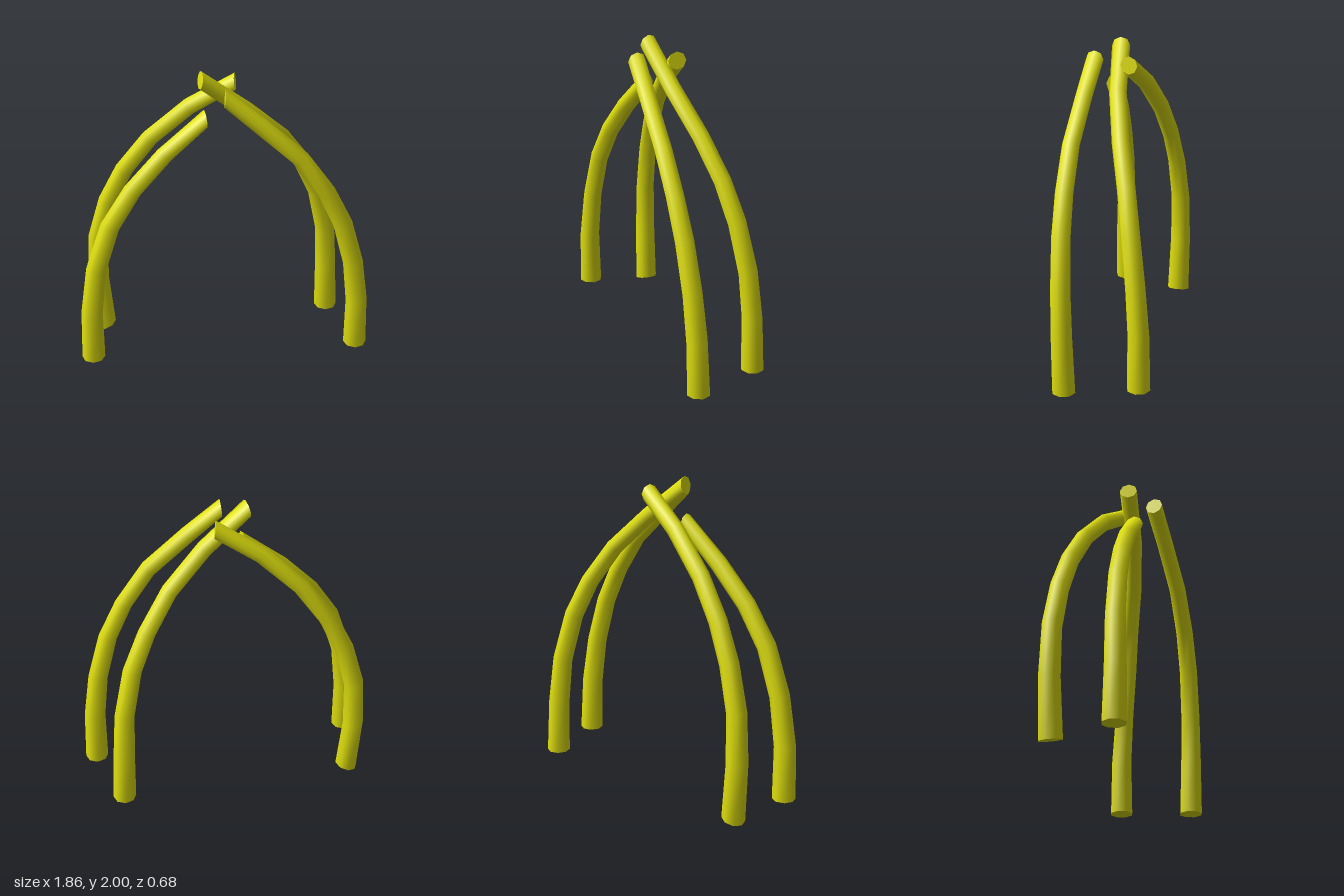
import * as THREE from 'three';

const SIDES = 8;
const RADII = [0.074, 0.068, 0.063, 0.06, 0.057, 0.055, 0.054, 0.056];

// Tapered limb lofted through centre points from foot to tip, with set cut directions at both ends.
function limbGeometry(points, footDir, tipDir) {
  const centres = points.map(p => new THREE.Vector3(...p));
  const last = centres.length - 1;
  const rings = centres.map((c, i) => {
    const t = new THREE.Vector3();
    if (i === 0) t.set(...footDir);
    else if (i === last) t.set(...tipDir);
    else {
      t.subVectors(centres[i + 1], c).normalize();
      t.add(c.clone().sub(centres[i - 1]).normalize());
    }
    t.normalize();
    const a = new THREE.Vector3(0, 0, 1).cross(t).normalize();
    const b = t.clone().cross(a);
    const r = i === last ? RADII[7] : RADII[i];
    return Array.from({ length: SIDES }, (_, j) => {
      const k = (j / SIDES) * Math.PI * 2;
      return c.clone().addScaledVector(a, r * Math.cos(k)).addScaledVector(b, r * Math.sin(k));
    });
  });

  const verts = rings.flat();
  const index = [];
  for (let i = 0; i < last; i++) {
    for (let j = 0; j < SIDES; j++) {
      const k = (j + 1) % SIDES;
      const p = i * SIDES + j, q = i * SIDES + k;
      index.push(p, q, q + SIDES, p, q + SIDES, p + SIDES);
    }
  }
  // End caps use their own vertices so the rims stay sharp
  for (const i of [0, last]) {
    const base = verts.length;
    verts.push(centres[i], ...rings[i]);
    for (let j = 0; j < SIDES; j++) {
      const p = base + 1 + j, q = base + 1 + ((j + 1) % SIDES);
      if (i === 0) index.push(base, q, p);
      else index.push(base, p, q);
    }
  }
  const geo = new THREE.BufferGeometry().setFromPoints(verts);
  geo.setIndex(index);
  geo.computeVertexNormals();
  return geo;
}

export function createModel() {
  const group = new THREE.Group();
  group.name = 'archedPoles';
  const yellow = new THREE.MeshStandardMaterial({ color: 0xdede0e });
  yellow.name = 'yellow';

  const limbs = [
    {
      name: 'frontRightPole', foot: [0, 1, 0], tip: [1, 0.1, -0.2],
      path: [[-0.86, 0.05, 0.265], [-0.853, 0.4, 0.268], [-0.812, 0.72, 0.252], [-0.715, 1.02, 0.23],
        [-0.568, 1.26, 0.2], [-0.367, 1.485, 0.16], [-0.12, 1.705, 0.12]],
    },
    {
      name: 'backRightPole', foot: [-0.26, 0.97, 0], tip: [1, 0.1, 0.12],
      path: [[-0.805, 0.023, -0.13], [-0.832, 0.4, -0.135], [-0.818, 0.72, -0.133], [-0.742, 1.0, -0.123],
        [-0.63, 1.235, -0.108], [-0.46, 1.47, -0.085], [-0.213, 1.702, -0.055], [0.06, 1.88, -0.02]],
    },
    {
      name: 'backLeftPole', foot: [0, 1, 0], tip: [-1, 0.2, 0.25],
      path: [[0.695, 0.05, -0.27], [0.683, 0.4, -0.265], [0.665, 0.7, -0.24], [0.6, 1.01, -0.19],
        [0.497, 1.25, -0.135], [0.345, 1.49, -0.055], [0.12, 1.72, 0.03], [-0.148, 1.945, 0.09]],
    },
    {
      name: 'frontLeftPole', foot: [0, 1, 0], tip: [-1, 0.1, 0],
      path: [[0.85, 0.05, 0.155], [0.843, 0.4, 0.165], [0.805, 0.7, 0.18], [0.725, 1.0, 0.198],
        [0.612, 1.24, 0.212], [0.448, 1.48, 0.222], [0.2, 1.708, 0.22], [-0.005, 1.885, 0.215]],
    },
  ];

  for (const { name, path, foot, tip } of limbs) {
    const mesh = new THREE.Mesh(limbGeometry(path, foot, tip), yellow);
    mesh.name = name;
    group.add(mesh);
  }
  return group;
}
